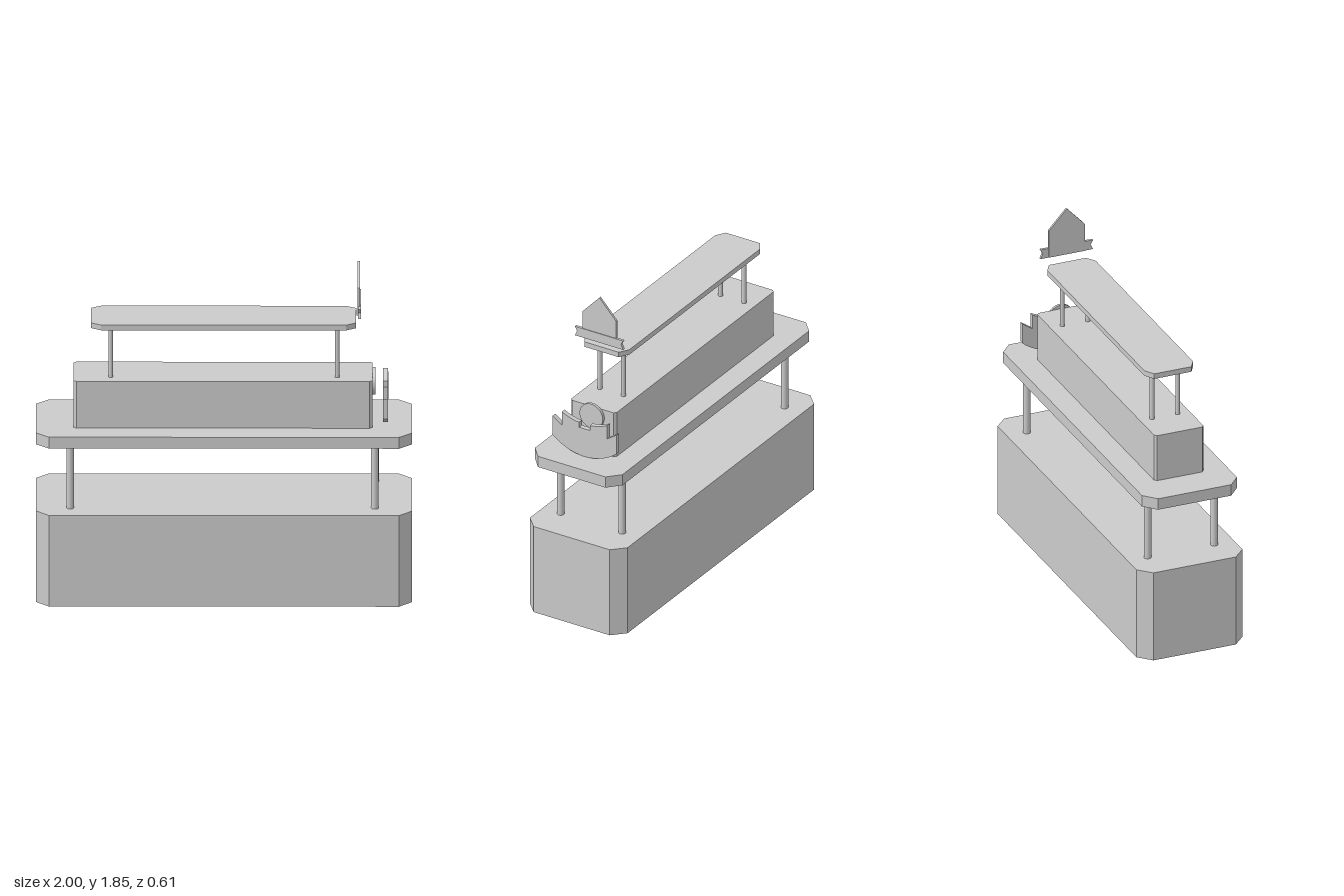
import * as THREE from 'three';

const material = new THREE.MeshStandardMaterial({ color: 0xcccccc });

export function createModel() {
  const model = new THREE.Group();

  function add(name, geometry) {
    const mesh = new THREE.Mesh(geometry, material);
    mesh.name = name;
    model.add(mesh);
    return mesh;
  }

  // Slab with cut corners: x0..x1, half depth d, y0..y1, corner cut cx by cz
  function slab(name, x0, x1, d, y0, y1, cx, cz) {
    const outline = new THREE.Shape([
      [x0 + cx, -d], [x1 - cx, -d], [x1, -d + cz], [x1, d - cz],
      [x1 - cx, d], [x0 + cx, d], [x0, d - cz], [x0, -d + cz],
    ].map(([x, z]) => new THREE.Vector2(x, z)));
    const geometry = new THREE.ExtrudeGeometry(outline, { depth: y1 - y0, bevelEnabled: false });
    geometry.rotateX(-Math.PI / 2).translate(0, y0, 0);
    add(name, geometry);
  }

  // Upright plate drawn in the z-y plane, thickness x0..x1
  function plate(name, shape, x0, x1) {
    const geometry = new THREE.ExtrudeGeometry(shape, { depth: x1 - x0, bevelEnabled: false, curveSegments: 20 });
    geometry.rotateY(Math.PI / 2).translate(x0, 0, 0);
    add(name, geometry);
  }

  // Four round posts
  function posts(name, xs, z, radius, y0, y1) {
    for (const x of xs) for (const side of [1, -1]) {
      add(name, new THREE.CylinderGeometry(radius, radius, y1 - y0, 24))
        .position.set(x, (y0 + y1) / 2, side * z);
    }
  }

  const polygon = (points) => new THREE.Shape(points.map(([x, y]) => new THREE.Vector2(x, y)));

  // Stacked tiers
  slab('base', -1, 1, 0.307, 0, 0.52, 0.07, 0.068);
  posts('lowerPost', [-0.817, 0.803], 0.193, 0.02, 0.52, 0.89);
  slab('deck', -1, 1, 0.275, 0.89, 0.955, 0.07, 0.063);
  slab('cabin', -0.8, 0.79, 0.143, 0.955, 1.222, 0.015, 0.012);
  posts('upperPost', [-0.602, 0.602], 0.074, 0.013, 1.222, 1.508);
  slab('roof', -0.708, 0.703, 0.141, 1.513, 1.543, 0.055, 0.033);

  // Round disc on the cabin end
  const disc = new THREE.Shape();
  disc.absarc(0, 1.171, 0.073, 0, Math.PI * 2);
  plate('disc', disc, 0.79, 0.806);

  // Curved crest with stepped horns and a centre notch
  const crest = new THREE.Shape();
  crest.moveTo(0.2, 1.03);
  crest.lineTo(0.2, 1.145);
  crest.lineTo(0.142, 1.106);
  crest.lineTo(0.142, 1.187);
  crest.quadraticCurveTo(0.09, 1.16, 0.034, 1.155);
  crest.lineTo(0.034, 1.125);
  crest.lineTo(-0.034, 1.125);
  crest.lineTo(-0.034, 1.155);
  crest.quadraticCurveTo(-0.09, 1.16, -0.142, 1.187);
  crest.lineTo(-0.142, 1.106);
  crest.lineTo(-0.2, 1.145);
  crest.lineTo(-0.2, 1.03);
  const halfAngle = Math.asin(0.2 / 0.31);
  crest.absarc(0, 1.267, 0.31, -Math.PI / 2 - halfAngle, -Math.PI / 2 + halfAngle, false);
  plate('crest', crest, 0.845, 0.873);

  // Gabled sign above the roof end, with a notched ribbon at its foot
  plate('gablePlate', polygon([
    [-0.105, 1.582], [0.105, 1.582], [0.105, 1.74], [0, 1.853], [-0.105, 1.74],
  ]), 0.711, 0.724);
  plate('ribbon', polygon([
    [-0.152, 1.582], [0.152, 1.582], [0.138, 1.612], [0.152, 1.636],
    [-0.152, 1.636], [-0.138, 1.612],
  ]), 0.713, 0.728);

  return model;
}
